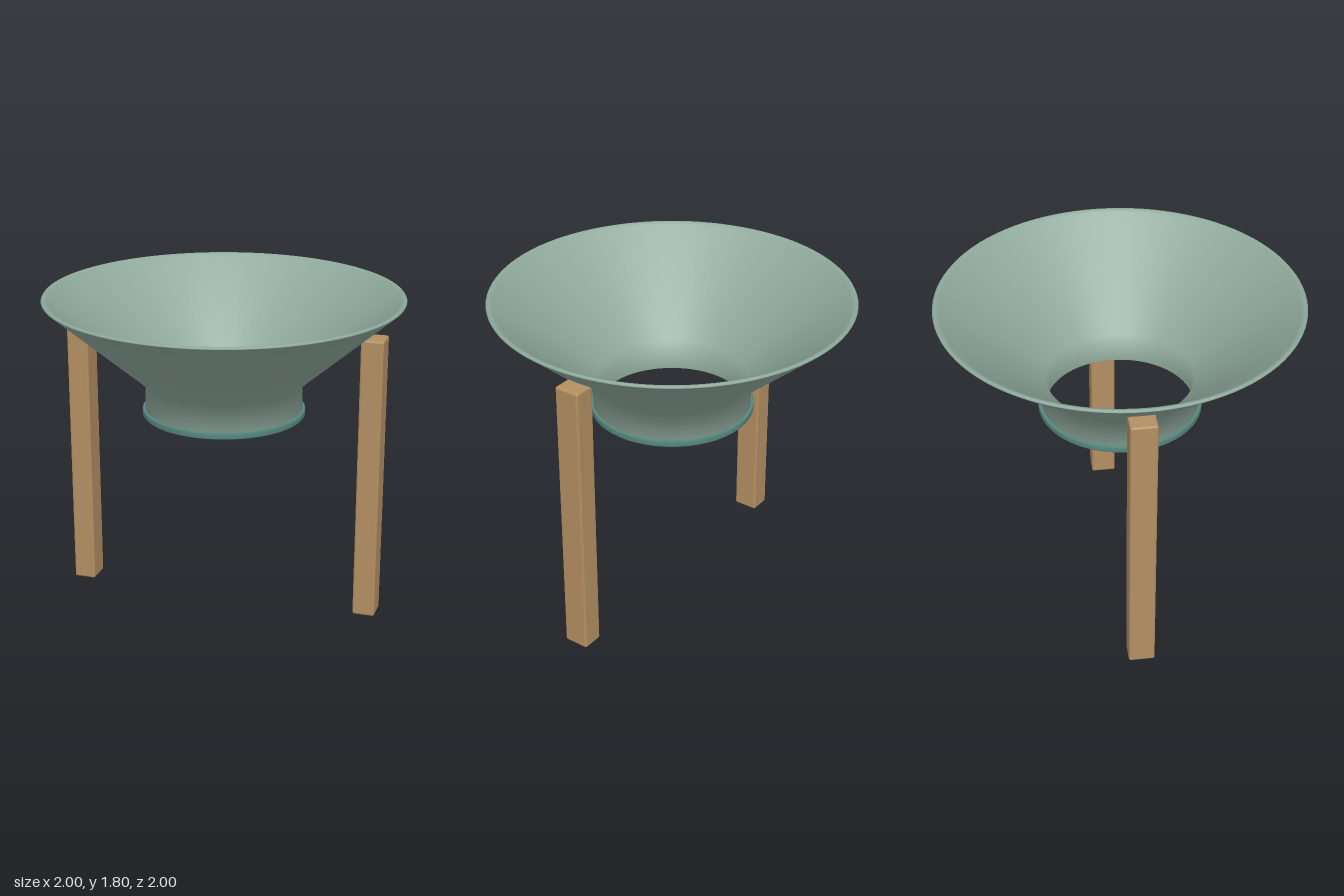
import * as THREE from 'three';
import { RoundedBoxGeometry } from 'three/addons/geometries/RoundedBoxGeometry.js';

const paint = new THREE.MeshStandardMaterial({ name: 'sage green', color: 0x8fa99c });
const trim = new THREE.MeshStandardMaterial({ name: 'deep teal', color: 0x55877d });
const wood = new THREE.MeshStandardMaterial({ name: 'light wood', color: 0xb38f62 });

// Revolved part from [radius, height] pairs
function lathe(name, profile, material) {
  const points = profile.map(([r, y]) => new THREE.Vector2(r, y));
  const mesh = new THREE.Mesh(new THREE.LatheGeometry(points, 96), material);
  mesh.name = name;
  return mesh;
}

export function createModel() {
  const model = new THREE.Group();
  model.name = 'funnelStand';

  // Thin-walled cone with a short straight spout
  model.add(lathe('funnel', [
    [0.41, 1.122], [0.44, 1.122], [0.44, 1.3],
    [0.998, 1.783], [1, 1.787], [0.994, 1.795], [0.985, 1.796], [0.965, 1.786],
    [0.41, 1.3], [0.41, 1.122],
  ], paint));

  // Collar around the mouth of the spout
  model.add(lathe('spoutCollar', [
    [0.422, 1.15], [0.422, 1.119], [0.426, 1.115], [0.453, 1.115], [0.457, 1.119],
    [0.457, 1.146], [0.453, 1.15], [0.422, 1.15],
  ], trim));

  // Two side posts
  for (const side of [-1, 1]) {
    const post = new THREE.Mesh(new RoundedBoxGeometry(0.126, 1.625, 0.145, 3, 0.012), wood);
    post.name = side > 0 ? 'leftPost' : 'rightPost';
    post.position.set(side * 0.85, 0.8125, 0);
    model.add(post);
  }
  return model;
}
